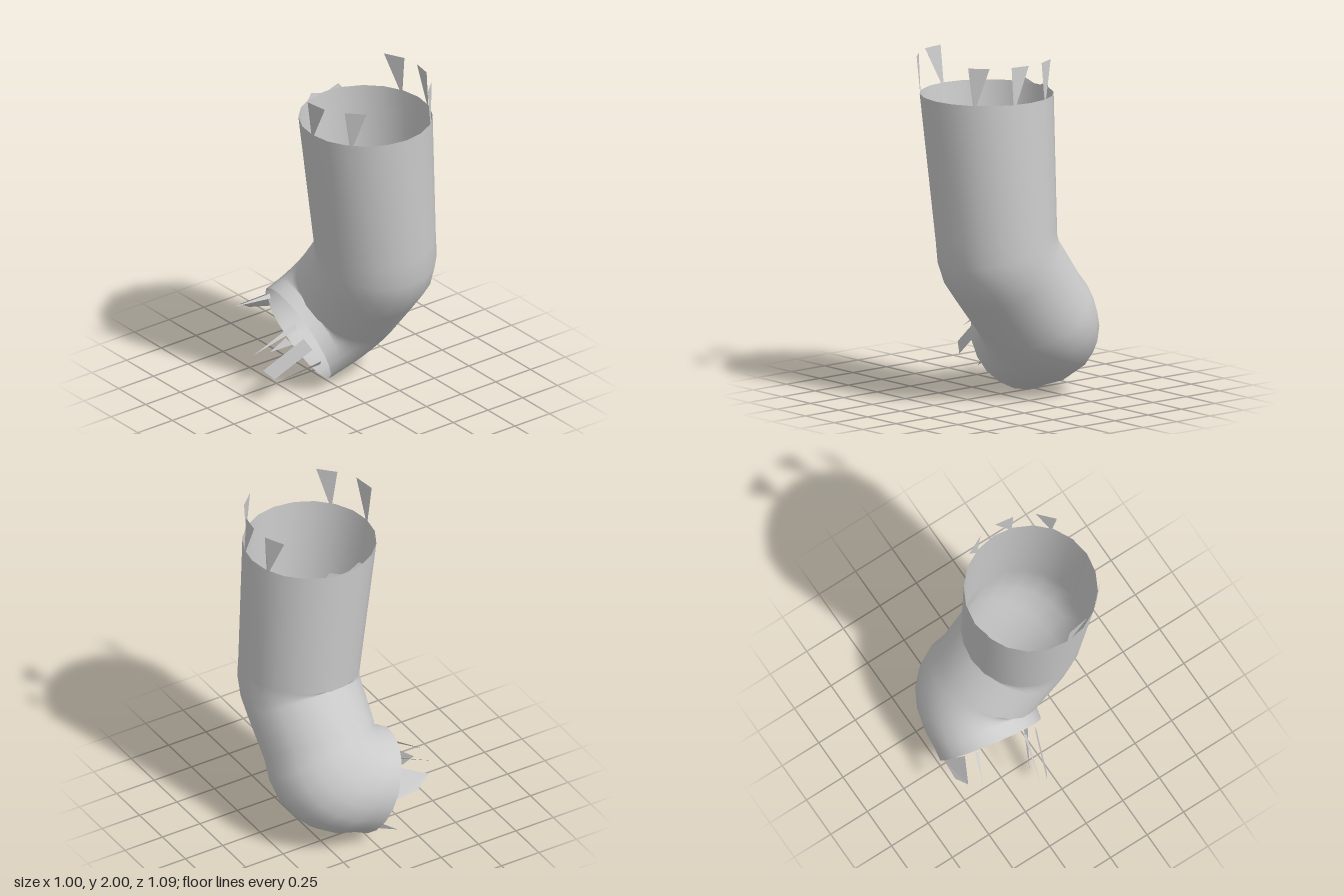
import * as THREE from 'three';

const V = (x, y, z) => new THREE.Vector3(x, y, z);
const SIDES = 20;
const material = new THREE.MeshStandardMaterial({ color: 0xcccccc, side: THREE.DoubleSide });

// Centre line of the sleeve: shoulder opening, two bends, cuff opening
const path = [V(0.07, 1.785, 0.165), V(0.155, 0.85, 0.155), V(0.145, 0.4, -0.19), V(-0.11, 0.286, -0.23)];
// Bend radius, tube radius before and after, extra fullness on the outside of the bend
const bends = [
  { radius: 0.34, from: 0.348, to: 0.342, bulge: 0.06, steps: 3 },
  { radius: 0.315, from: 0.335, to: 0.316, bulge: 0.2, steps: 6 },
];

// Stations along the path: centre, tangent, tube radius, outward push
function stations() {
  const list = [{ c: path[0], t: V(0, -1, 0), r: 0.383, out: V(0, 0, 0) }];
  bends.forEach(({ radius, from, to, bulge, steps }, i) => {
    const p = path[i + 1];
    const a = p.clone().sub(path[i]).normalize();
    const b = path[i + 2].clone().sub(p).normalize();
    const angle = a.angleTo(b);
    const axis = a.clone().cross(b).normalize();
    const start = p.clone().addScaledVector(a, -radius * Math.tan(angle / 2));
    const pivot = start.clone().addScaledVector(axis.clone().cross(a), radius);
    for (let k = 0; k <= steps; k++) {
      const f = k / steps;
      const c = start.clone().sub(pivot).applyAxisAngle(axis, angle * f).add(pivot);
      const out = c.clone().sub(pivot).normalize().multiplyScalar(bulge * Math.sin(Math.PI * f));
      list.push({ c, t: a.clone().applyAxisAngle(axis, angle * f), r: from + (to - from) * f, out });
    }
  });
  const { t } = list[list.length - 1];
  list.push({ c: path[3], t, r: 0.313, out: V(0, 0, 0) });
  return list;
}

// Open tube lofted through the stations
function sleeveGeometry() {
  const pos = [], index = [];
  const u = V(1, 0, 0), v = V(0, 0, 1), q = new THREE.Quaternion();
  const list = stations();
  list.forEach(({ c, t, r, out }, i) => {
    if (i) {
      q.setFromUnitVectors(list[i - 1].t, t);
      u.applyQuaternion(q);
      v.applyQuaternion(q);
    }
    for (let j = 0; j < SIDES; j++) {
      const a = (j / SIDES) * Math.PI * 2;
      const d = V(0, 0, 0).addScaledVector(u, r * Math.cos(a)).addScaledVector(v, r * Math.sin(a));
      const push = out.lengthSq() ? Math.max(0, d.dot(out)) / out.length() : 0;
      const p = c.clone().add(d).addScaledVector(out, push);
      pos.push(p.x, p.y, p.z);
      if (i === list.length - 1) continue;
      const A = i * SIDES + j, B = i * SIDES + (j + 1) % SIDES;
      index.push(A, B, A + SIDES, B, B + SIDES, A + SIDES);
    }
  });
  const g = new THREE.BufferGeometry();
  g.setAttribute('position', new THREE.Float32BufferAttribute(pos, 3));
  g.setIndex(index);
  g.computeVertexNormals();
  return g;
}

// Flat torn scrap from three or four corners
function scrap(name, corners) {
  const pos = [];
  for (let i = 1; i < corners.length - 1; i++) {
    for (const p of [corners[0], corners[i], corners[i + 1]]) pos.push(p.x, p.y, p.z);
  }
  const g = new THREE.BufferGeometry();
  g.setAttribute('position', new THREE.Float32BufferAttribute(pos, 3));
  g.computeVertexNormals();
  const mesh = new THREE.Mesh(g, material);
  mesh.name = name;
  return mesh;
}

// Point on the shoulder rim, angle in degrees from +x towards +z
function rim(deg, y, r = 0.383) {
  const a = THREE.MathUtils.degToRad(deg);
  return V(0.07 + r * Math.cos(a), y, 0.165 + r * Math.sin(a));
}

export function createModel() {
  const group = new THREE.Group();
  group.name = 'tornSleeve';

  const sleeve = new THREE.Mesh(sleeveGeometry(), material);
  sleeve.name = 'sleeve';
  group.add(sleeve);

  // Upright scraps on the shoulder rim: base angle, two tip angles, tip radius
  const upright = [
    [180, 181, 162, 0.412], [140, 145, 127, 0.4], [51, 57, 38, 0.375],
    [16, 18, 0, 0.37], [-20, -16, -36, 0.375],
  ];
  for (const [base, a, b, r] of upright) {
    group.add(scrap('shoulderScrap', [rim(base - 1, 1.77), rim(base + 1, 1.77), rim(a, 2, r), rim(b, 2, r)]));
  }

  // Low points along the back of the shoulder rim
  for (const [from, tip, to] of [[-112, -106, -92], [-88, -76, -72]]) {
    group.add(scrap('rimPoint', [rim(from, 1.78), rim(tip, 1.815), rim(to, 1.78)]));
  }

  // Scraps hanging out from the cuff
  const cuff = [
    [V(-0.24, 0.45, -0.09), V(-0.24, 0.42, -0.07), V(-0.5, 0.3, -0.145)],
    [V(-0.24, 0.38, -0.01), V(-0.2, 0.31, 0.02), V(-0.42, 0.16, -0.05), V(-0.475, 0.22, -0.085)],
    [V(-0.19, 0.5, -0.39), V(-0.2, 0.48, -0.37), V(-0.385, 0.45, -0.46)],
    [V(-0.08, 0.33, -0.53), V(-0.17, 0.47, -0.445), V(-0.31, 0.42, -0.515), V(-0.22, 0.36, -0.545)],
    [V(-0.13, 0.21, 0.01), V(-0.12, 0.18, -0.01), V(-0.33, 0.1, -0.11)],
    [V(-0.03, 0.14, -0.45), V(0, 0.1, -0.42), V(-0.13, 0.07, -0.47)],
  ];
  for (const corners of cuff) group.add(scrap('cuffScrap', corners));

  return group;
}
